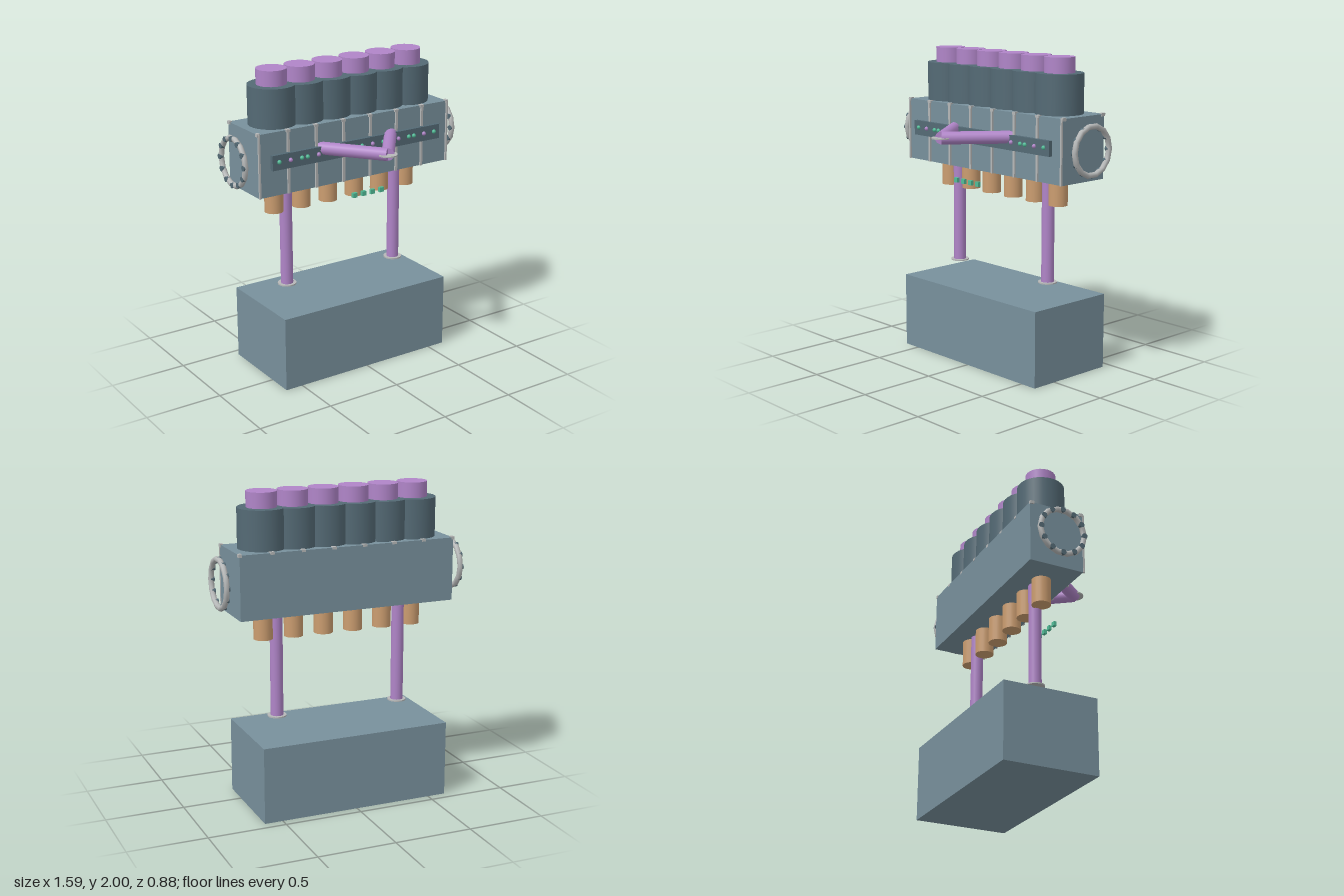
import * as THREE from 'three';

const paint = (name, color) => {
  const m = new THREE.MeshStandardMaterial({ color });
  m.name = name;
  return m;
};

export function createModel() {
  const slate = paint('slate', 0x78909c);
  const dark = paint('dark slate', 0x546a75);
  const purple = paint('purple', 0xb085c8);
  const copper = paint('copper', 0xcb9d70);
  const green = paint('green', 0x52bd98);
  const steel = paint('steel', 0xb6b8b8);

  const model = new THREE.Group();
  model.name = 'engine';
  const Z = -0.135; // centre line of the block
  const bays = [-0.5, -0.3, -0.1, 0.1, 0.3, 0.5];

  const add = (name, geometry, material, x, y, z, parent = model) => {
    const mesh = new THREE.Mesh(geometry, material);
    mesh.name = name;
    mesh.position.set(x, y, z);
    parent.add(mesh);
    return mesh;
  };
  const box = (w, h, d) => new THREE.BoxGeometry(w, h, d);
  const cyl = (r, h, n = 24) => new THREE.CylinderGeometry(r, r, h, n);

  // Base tank and engine block
  add('baseTank', box(1.235, 0.485, 0.615), slate, 0, 0.2425, Z);
  add('block', box(1.41, 0.4, 0.36), slate, 0, 1.455, Z);

  // Cylinders, pistons and lower injectors
  for (const x of bays) {
    add('cylinder', cyl(0.15, 0.25, 32), dark, x, 1.778, Z);
    add('piston', cyl(0.095, 0.2), purple, x, 1.9, Z);
    add('injector', cyl(0.06, 0.19, 20), copper, x, 1.18, Z);
  }

  // Front straps and small clips along both upper edges
  for (const x of bays) {
    add('strap', box(0.016, 0.4, 0.012), steel, x, 1.455, 0.05);
    for (const z of [-0.303, 0.043]) add('clip', box(0.028, 0.016, 0.026), steel, x, 1.652, z);
  }
  for (const side of [-1, 1]) {
    add('cornerStrap', box(0.012, 0.4, 0.012), steel, side * 0.702, 1.455, 0.05);
    for (const z of [-0.303, 0.036]) add('cornerClip', box(0.02, 0.02, 0.028), steel, side * 0.702, 1.652, z);
  }

  // Front control rail with indicator studs
  add('controlRail', box(1.25, 0.095, 0.025), dark, 0, 1.472, 0.063);
  const stud = new THREE.SphereGeometry(0.014, 8, 6);
  for (const x of bays) {
    add('purpleStud', stud, purple, x, 1.475, 0.077);
    for (const d of [-0.08, 0.08]) add('greenStud', stud, green, x + d, 1.475, 0.077);
  }

  // Row of small terminals below the rail
  for (const x of [-0.1, -0.033, 0.033, 0.1]) add('terminal', box(0.03, 0.03, 0.02), green, x, 1.2, 0.17);

  // Support pipes with flanges
  for (const side of [-1, 1]) {
    add('supportPipe', cyl(0.04, 0.68, 16), purple, side * 0.415, 0.92, Z);
    add('pipeFlange', cyl(0.06, 0.008), steel, side * 0.415, 0.58, Z);
  }

  // V-shaped pipes meeting at a collector disc
  const tip = new THREE.Vector3(0, 1.5, 0.38);
  for (const side of [-1, 1]) {
    const root = new THREE.Vector3(side * 0.27, 1.5, 0.03);
    const dir = tip.clone().sub(root);
    const mid = root.clone().add(tip).multiplyScalar(0.5);
    const pipe = add('collectorPipe', cyl(0.04, dir.length(), 16), purple, mid.x, mid.y, mid.z);
    pipe.quaternion.setFromUnitVectors(new THREE.Vector3(0, 1, 0), dir.normalize());
  }
  add('collectorDisc', cyl(0.06, 0.008), steel, 0, 1.5, 0.38);

  // End rings, each with bolts on the same face
  for (const side of [-1, 1]) {
    const ring = new THREE.Group();
    ring.name = 'endRing';
    ring.position.set(side * 0.777, 1.455, Z);
    model.add(ring);
    const hoop = add('hoop', new THREE.TorusGeometry(0.15, 0.018, 8, 14), steel, 0, 0, 0, ring);
    hoop.rotation.y = Math.PI / 2;
    for (let i = 0; i < 12; i++) {
      const a = (i / 12) * Math.PI * 2;
      const bolt = add('bolt', cyl(0.018, 0.022, 8), dark, -0.007, Math.sin(a) * 0.147, Math.cos(a) * 0.147, ring);
      bolt.rotation.z = Math.PI / 2;
    }
  }

  return model;
}
